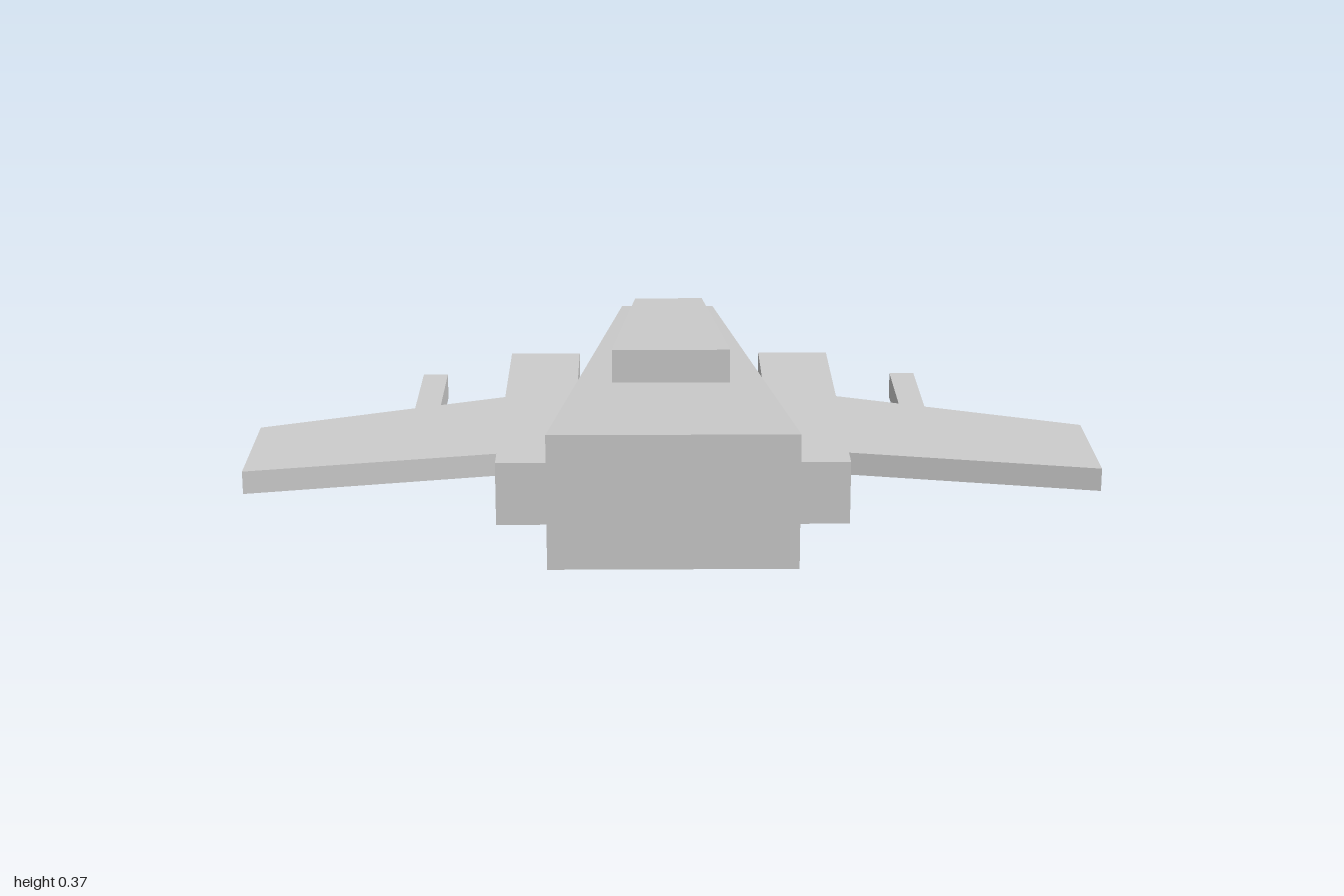
import * as THREE from 'three';

// Box whose front (+z) and back (-z) ends are given as { z, w: half width, y0, y1 }
function taperedBox(front, back) {
  const geo = new THREE.BoxGeometry(2, 1, 1);
  const p = geo.attributes.position;
  for (let i = 0; i < p.count; i++) {
    const end = p.getZ(i) > 0 ? front : back;
    p.setXYZ(i, p.getX(i) * end.w, p.getY(i) > 0 ? end.y1 : end.y0, end.z);
  }
  geo.computeVertexNormals();
  return geo;
}

// Plain box given by its limits on each axis
function boxBetween(x0, x1, y0, y1, z0, z1) {
  return new THREE.BoxGeometry(x1 - x0, y1 - y0, z1 - z0)
    .translate((x0 + x1) / 2, (y0 + y1) / 2, (z0 + z1) / 2);
}

// Flat swept wing; side is +1 (left) or -1 (right)
function wingGeometry(side) {
  const outline = [[0.41, 0], [1, 0.247], [1, 0.578], [0.41, 0.452]];
  const shape = new THREE.Shape(outline.map(([x, z]) => new THREE.Vector2(side * x, -z)));
  return new THREE.ExtrudeGeometry(shape, { depth: 0.055, bevelEnabled: false })
    .rotateX(-Math.PI / 2).translate(0, 0.137, 0);
}

export function createModel() {
  const group = new THREE.Group();
  const grey = new THREE.MeshStandardMaterial({ color: 0xcccccc });
  grey.name = 'light grey';

  const add = (name, geometry) => {
    const mesh = new THREE.Mesh(geometry, grey);
    mesh.name = name;
    group.add(mesh);
    return mesh;
  };

  // Wedge hull and the raised cabin on top of it
  add('hull', taperedBox(
    { z: 0.72, w: 0.29, y0: 0, y1: 0.325 },
    { z: -0.72, w: 0.125, y0: 0.097, y1: 0.23 }));
  add('cabin', taperedBox(
    { z: 0.205, w: 0.144, y0: 0.27, y1: 0.374 },
    { z: -0.375, w: 0.088, y0: 0.235, y1: 0.346 }));

  // Engine pod, wing and gun on each side
  for (const side of [1, -1]) {
    const label = side > 0 ? 'left' : 'right';
    const span = (a, b) => (side > 0 ? [a, b] : [-b, -a]);
    add(label + 'EnginePod', boxBetween(...span(0.232, 0.408), 0.09, 0.24, -0.223, 0.665));
    add(label + 'Wing', wingGeometry(side));
    add(label + 'Gun', boxBetween(...span(0.58, 0.643), 0.103, 0.167, -0.277, 0.223));
  }
  return group;
}
